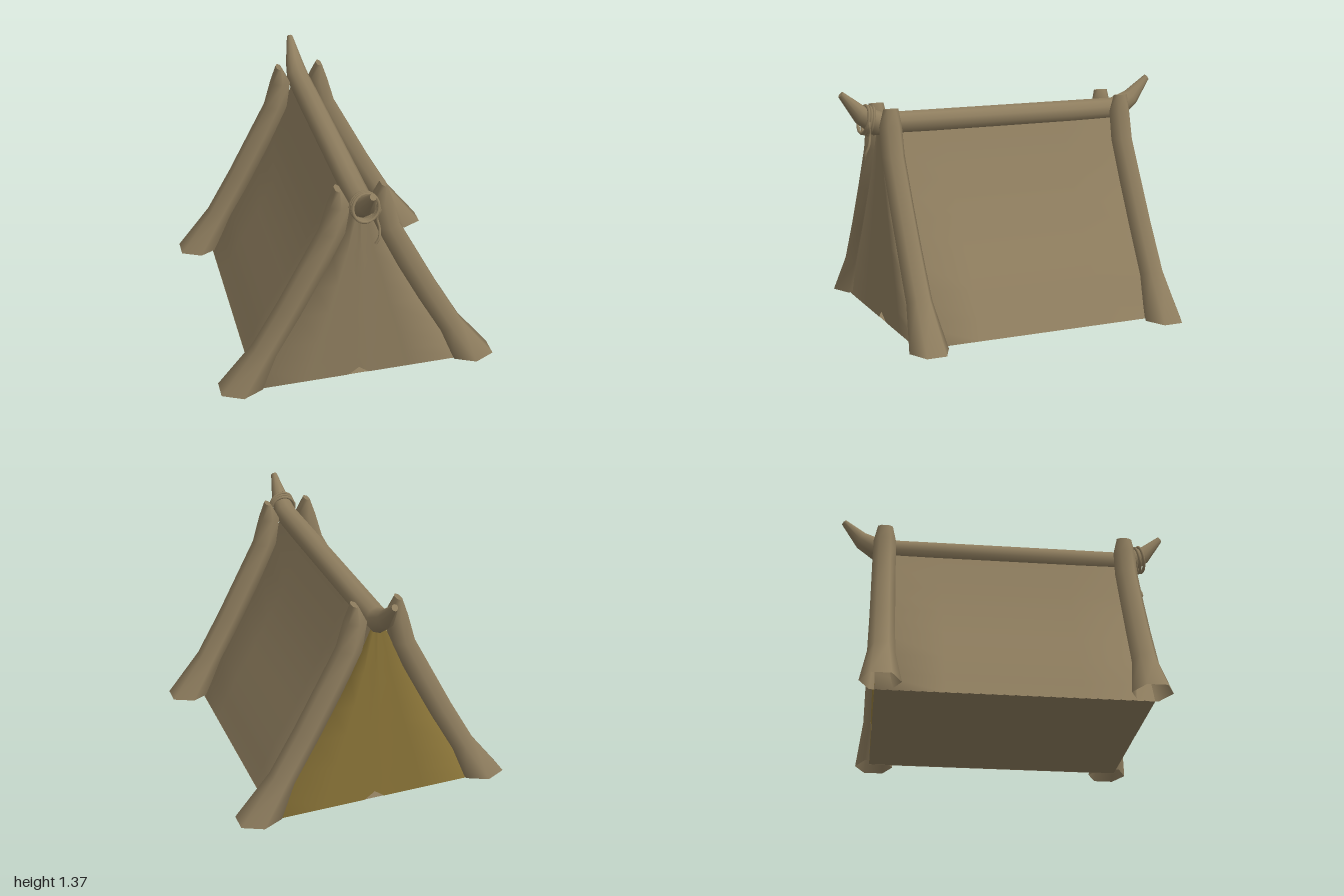
import * as THREE from 'three';

const material = (name, color, side = THREE.FrontSide) => {
  const m = new THREE.MeshStandardMaterial({ color, side });
  m.name = name;
  return m;
};

function geometryFrom(pos, idx) {
  const g = new THREE.BufferGeometry();
  g.setAttribute('position', new THREE.Float32BufferAttribute(pos, 3));
  g.setIndex(idx);
  g.computeVertexNormals();
  return g;
}

// Skin over elliptical rings {c: centre, a, b: half axes}, with optional flat end caps
function loft(rings, sides, phase, capStart, capEnd) {
  const pos = [], idx = [];
  const addRing = ({ c, a, b }) => {
    const first = pos.length / 3;
    for (let j = 0; j < sides; j++) {
      const t = phase + (j / sides) * Math.PI * 2;
      const p = c.clone().addScaledVector(a, Math.cos(t)).addScaledVector(b, Math.sin(t));
      pos.push(p.x, p.y, p.z);
    }
    return first;
  };
  rings.forEach(addRing);
  for (let i = 0; i < rings.length - 1; i++) {
    for (let j = 0; j < sides; j++) {
      const k = (j + 1) % sides, r = i * sides, s = r + sides;
      idx.push(r + j, s + j, r + k, s + j, s + k, r + k);
    }
  }
  const cap = (ring, end) => {
    const f = addRing(ring);
    for (let j = 1; j < sides - 1; j++) {
      if (end) idx.push(f, f + j + 1, f + j);
      else idx.push(f, f + j, f + j + 1);
    }
  };
  if (capStart) cap(rings[0], false);
  if (capEnd) cap(rings[rings.length - 1], true);
  return geometryFrom(pos, idx);
}

// Hexagonal slanted pole with a flared open foot; rows: outer x, y, inner x, y, z radius
const POLE = [
  [0.815, 0.015, 0.575, 0.015, 0.115],
  [0.612, 0.28, 0.49, 0.225, 0.077],
  [0.46, 0.55, 0.345, 0.485, 0.073],
  [0.335, 0.79, 0.215, 0.735, 0.071],
  [0.22, 1.01, 0.09, 1.0, 0.07],
  [0.175, 1.17, 0.064, 1.17, 0.068],
  [0.143, 1.27, 0.113, 1.27, 0.045],
];
function poleGeometry(side) {
  const k = 0.5 / Math.cos(Math.PI / 6);
  const rings = POLE.map(([ox, oy, ix, iy, rz]) => ({
    c: new THREE.Vector3(side * (ox + ix) / 2, (oy + iy) / 2, 0),
    a: new THREE.Vector3(side * (ox - ix) * k, (oy - iy) * k, 0),
    b: new THREE.Vector3(0, 0, side * rz),
  }));
  return loft(rings, 6, Math.PI / 6, false, true);
}

// Ridge beam with upturned, tapered ends; rows: upper z, y, lower z, y, x radius
const RIDGE_END = [
  [0.45, 1.235, 0.45, 1.1, 0.07],
  [0.74, 1.235, 0.8, 1.105, 0.068],
  [0.85, 1.277, 0.905, 1.185, 0.051],
  [0.975, 1.365, 1.0, 1.335, 0.018],
];
function ridgeGeometry() {
  const ring = (s) => ([uz, uy, lz, ly, rx]) => ({
    c: new THREE.Vector3(0, (uy + ly) / 2, s * (uz + lz) / 2),
    a: new THREE.Vector3(-rx, 0, 0),
    b: new THREE.Vector3(0, (uy - ly) / 2, s * (uz - lz) / 2),
  });
  const rings = [...RIDGE_END.map(ring(-1)).reverse(), ...RIDGE_END.map(ring(1))];
  return loft(rings, 10, Math.PI / 10 * 5, true, true);
}

// Cloth shell: horizontal loops stacked up a concave outline, softly rounded at the corners
const CLOTH = [[0, 0.61], [0.12, 0.545], [0.27, 0.47], [0.47, 0.352], [0.65, 0.258],
  [0.85, 0.155], [1.1, 0.05], [1.17, 0.02]];
function clothGeometry() {
  const DEPTH = 0.765, across = [1, 0.5, 0.1, 0, -0.1, -0.5], along = [1, 0.5, 0, -0.5];
  const loop = [
    ...along.map((v) => [1, v]),
    ...across.map((u) => [u, -1]),
    ...along.map((v) => [-1, -v]),
    ...across.map((u) => [-u, 1]),
  ];
  const n = loop.length, pos = [], tan = [], gold = [];
  CLOTH.forEach(([y, w], i) => loop.forEach(([u, v]) => {
    // The two flaps part in a small notch at the foot of the centre line
    const notch = i === 0 && u === 0 ? 0.05 : 0;
    const fold = u === 0 ? 0.006 : 0;
    pos.push(u * w, y + notch, v * DEPTH + Math.sign(v) * fold * Math.abs(v));
  }));
  const backFrom = along.length, backTo = backFrom + across.length;
  for (let i = 0; i < CLOTH.length - 1; i++) {
    for (let j = 0; j < n; j++) {
      const k = (j + 1) % n, r = i * n, s = r + n;
      (j >= backFrom && j < backTo ? gold : tan)
        .push(r + j, r + k, s + j, r + k, s + k, s + j);
    }
  }
  const g = geometryFrom(pos, [...tan, ...gold]);
  g.addGroup(0, tan.length, 0);
  g.addGroup(tan.length, gold.length, 1);
  return g;
}

export function createModel() {
  const model = new THREE.Group();
  model.name = 'tent';
  const tan = material('tan', 0x8f7e5f, THREE.DoubleSide);
  const gold = material('gold', 0x8a7438, THREE.DoubleSide);
  const add = (name, geometry, mat, parent = model) => {
    const mesh = new THREE.Mesh(geometry, mat);
    mesh.name = name;
    parent.add(mesh);
    return mesh;
  };

  // Cloth and floor
  add('cloth', clothGeometry(), [tan, gold]);
  const floor = add('floor', new THREE.PlaneGeometry(1.22, 1.53), tan);
  floor.rotation.x = Math.PI / 2;
  floor.position.y = 0.002;

  // Frame
  add('ridgeBeam', ridgeGeometry(), tan);
  for (const side of [1, -1]) {
    const geometry = poleGeometry(side);
    add(side > 0 ? 'frontLeftPole' : 'frontRightPole', geometry, tan).position.z = 0.735;
    add(side > 0 ? 'backLeftPole' : 'backRightPole', geometry, tan).position.z = -0.735;
  }

  // Rope wound round the front of the beam, with a loose end
  const rope = new THREE.Group();
  rope.name = 'rope';
  model.add(rope);
  for (let i = 0; i < 3; i++) {
    const coil = add('ropeCoil', new THREE.TorusGeometry(0.074, 0.009, 6, 20), tan, rope);
    coil.position.set(0, 1.188 + i * 0.006, 0.815 + i * 0.02);
    coil.rotation.set(-0.22, (i - 1) * 0.08, 0);
    coil.scale.y = 1.08;
  }
  const tail = new THREE.CatmullRomCurve3([
    [0.06, 1.22, 0.835], [0.08, 1.17, 0.848], [0.066, 1.12, 0.842],
    [0.078, 1.06, 0.852], [0.072, 1.01, 0.872], [0.053, 0.975, 0.874],
  ].map((p) => new THREE.Vector3(...p)));
  add('ropeEnd', new THREE.TubeGeometry(tail, 20, 0.008, 6), tan, rope);

  return model;
}
